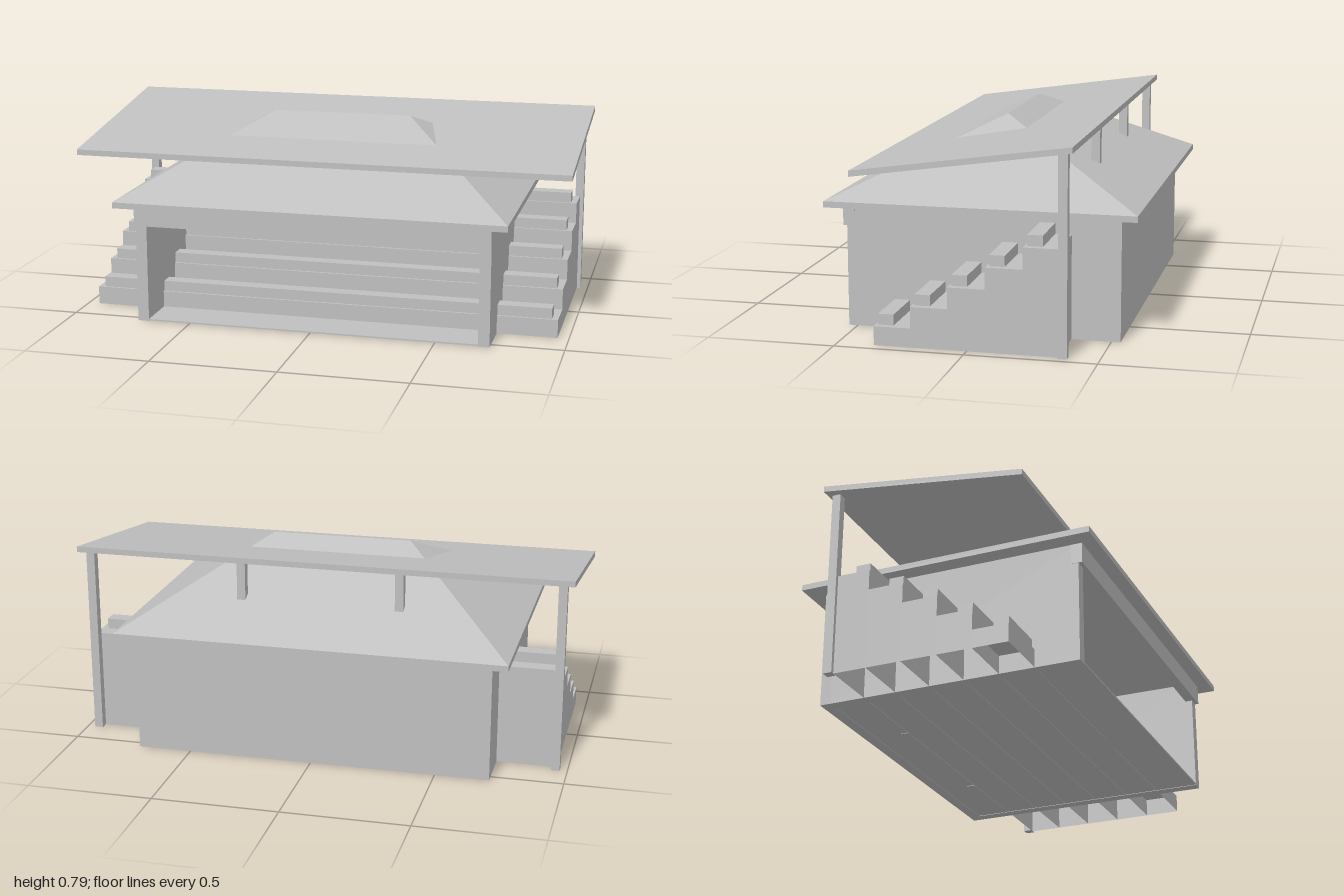
import * as THREE from 'three';

export function createModel() {
  const model = new THREE.Group();
  const grey = new THREE.MeshStandardMaterial({ color: 0xbfbfbf, side: THREE.DoubleSide });
  grey.name = 'plain grey';

  function add(name, geometry) {
    const mesh = new THREE.Mesh(geometry, grey);
    mesh.name = name;
    model.add(mesh);
    return mesh;
  }

  // Box given by its limits on each axis
  function box(name, x0, x1, y0, y1, z0, z1) {
    const geometry = new THREE.BoxGeometry(x1 - x0, y1 - y0, z1 - z0);
    geometry.translate((x0 + x1) / 2, (y0 + y1) / 2, (z0 + z1) / 2);
    return add(name, geometry);
  }

  // Hall, open at the front
  box('floor', -0.67, 0.67, 0.002, 0.008, -0.49, 0.535);
  box('backWall', -0.715, 0.715, 0, 0.48, -0.535, -0.49);
  for (const side of [-1, 1]) {
    const a = side * 0.67, b = side * 0.715;
    box('sideWall', Math.min(a, b), Math.max(a, b), 0, 0.48, -0.49, 0.535);
  }
  box('lintel', -0.716, 0.716, 0.397, 0.48, 0.505, 0.55);

  // Hipped roof on a thin eaves slab
  const ex = 0.785, ez = 0.605, ey = 0.502, rx = 0.287, ry = 0.786;
  box('eaves', -ex, ex, 0.478, ey, -ez, ez);
  const FL = [-ex, ey, ez], FR = [ex, ey, ez], BL = [-ex, ey, -ez], BR = [ex, ey, -ez];
  const RL = [-rx, ry, 0], RR = [rx, ry, 0];
  const faces = [
    FL, FR, RR, FL, RR, RL, // front slope
    BR, BL, RL, BR, RL, RR, // back slope
    FR, BR, RR,             // hip ends
    BL, FL, RL,
  ];
  const roof = new THREE.BufferGeometry();
  roof.setAttribute('position', new THREE.Float32BufferAttribute(faces.flat(), 3));
  roof.computeVertexNormals();
  add('hippedRoof', roof);

  // Stepped stand through the hall: tiers hollow below, each with a bench
  const treadDepth = 0.1425;
  for (let i = 0; i < 5; i++) {
    const front = 0.357 - i * treadDepth;
    const top = 0.073 + i * 0.083;
    const back = i === 4 ? -0.346 : front - treadDepth;
    const tier = box('standTier', -0.955, 0.955, 0, top, back, front);
    const index = Array.from(tier.geometry.index.array);
    index.splice(18, 6); // leave the underside open
    tier.geometry.setIndex(index);
    tier.geometry.clearGroups();
    box('bench', -0.93, 0.93, top, top + 0.042, front - 0.07, front - 0.01);
  }

  // Canopy posts
  for (const x of [-0.953, -0.32, 0.32, 0.953]) {
    box('canopyPost', x - 0.017, x + 0.017, 0, 0.757, -0.381, -0.346);
  }

  // Sloping canopy with upright edges
  const profile = new THREE.Shape([
    new THREE.Vector2(0.404, 0.787),
    new THREE.Vector2(0.404, 0.764),
    new THREE.Vector2(-0.428, 0.645),
    new THREE.Vector2(-0.428, 0.668),
  ]);
  const canopy = new THREE.ExtrudeGeometry(profile, { depth: 2, bevelEnabled: false });
  canopy.translate(0, 0, -1);
  canopy.rotateY(Math.PI / 2);
  add('canopy', canopy);

  return model;
}
